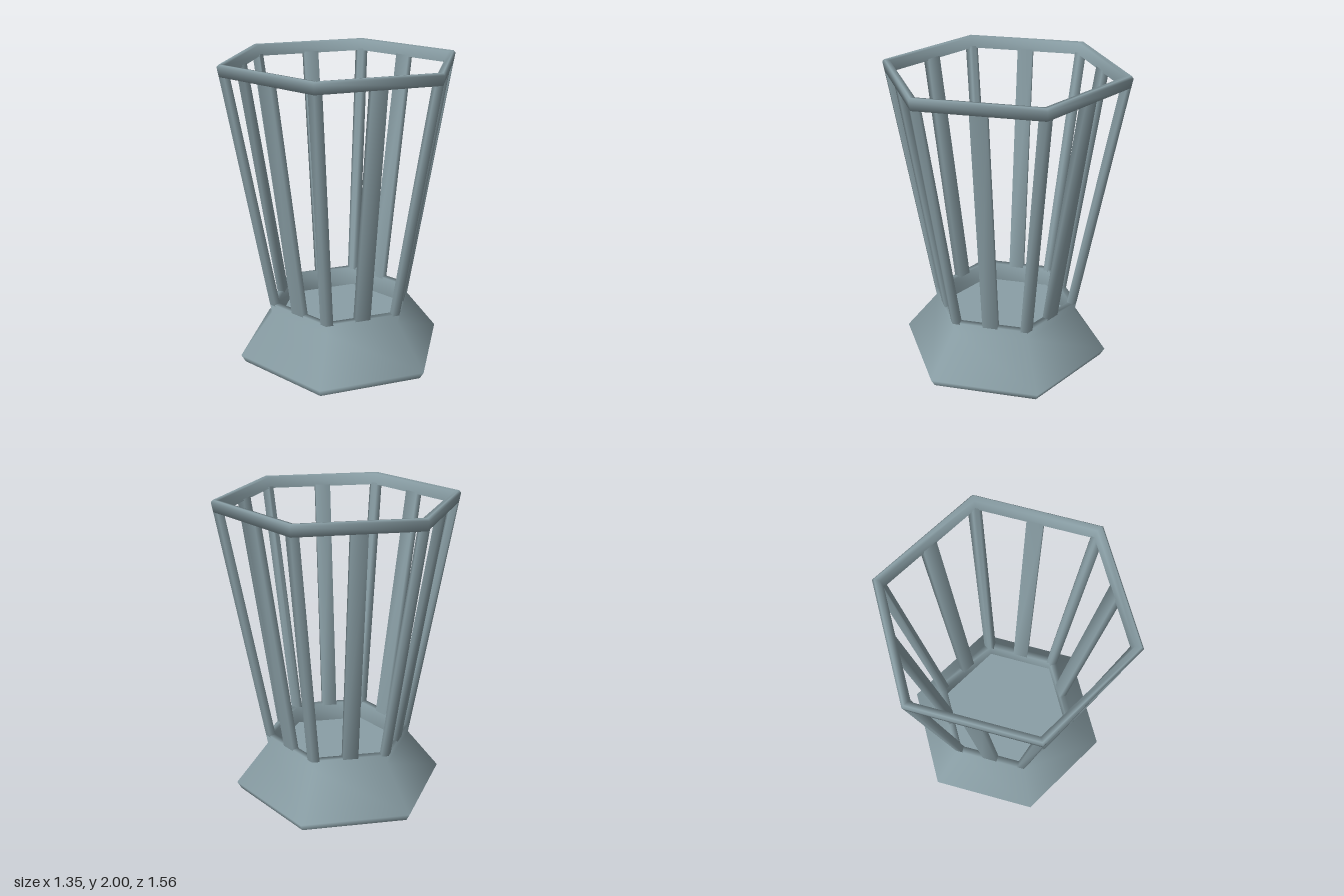
import * as THREE from 'three';

const SIDES = 6;
const APOTHEM = Math.cos(Math.PI / SIDES); // face distance / corner distance
const WALL = 0.045; // thickness of the cage

// Corner radius of the flaring cage at height y
const cageRadius = (y) => 0.485 + (y - 0.33) * 0.179;

// Six-sided ring or shell from a [radius, height] profile
function hexLathe(profile) {
  return new THREE.LatheGeometry(profile.map(([r, y]) => new THREE.Vector2(r, y)), SIDES);
}

// Leaning bar: section(y) gives [outward, sideways] points, counterclockwise from above
function barGeometry(section, y0, y1) {
  const positions = [];
  const index = [];
  for (const y of [y0, y1]) {
    for (const [out, side] of section(y)) positions.push(side, y, out);
  }
  const n = positions.length / 6;
  for (let i = 0; i < n; i++) {
    const j = (i + 1) % n;
    index.push(i, j, n + j, i, n + j, n + i);
  }
  const geometry = new THREE.BufferGeometry();
  geometry.setAttribute('position', new THREE.Float32BufferAttribute(positions, 3));
  geometry.setIndex(index);
  geometry.computeVertexNormals();
  return geometry;
}

// Flat bar in the middle of a face
function faceSection(y) {
  const a = cageRadius(y) * APOTHEM;
  const h = 0.05;
  return [[a, -h], [a, h], [a - WALL, h], [a - WALL, -h]];
}

// Folded bar wrapping a corner
function cornerSection(y) {
  const r = cageRadius(y);
  const w = 0.048;
  const outer = [r - 0.5 * w, APOTHEM * w];
  const inner = [outer[0] - APOTHEM * WALL, outer[1] - 0.5 * WALL];
  return [
    [r, 0], outer, inner, [r - WALL / APOTHEM, 0],
    [inner[0], -inner[1]], [outer[0], -outer[1]],
  ];
}

export function createModel() {
  const model = new THREE.Group();
  const metal = new THREE.MeshStandardMaterial({ color: 0x8a9fa6 });
  metal.name = 'blue grey metal';
  const under = new THREE.MeshStandardMaterial({ color: 0xd2d2cc });
  under.name = 'pale grey underside';

  const add = (name, geometry, material = metal) => {
    const mesh = new THREE.Mesh(geometry, material);
    mesh.name = name;
    model.add(mesh);
    return mesh;
  };

  // Flared foot with the low collar that holds the bars
  add('base', hexLathe([
    [0.675, 0], [0.703, 0.05], [0.485, 0.33], [0.497, 0.4], [0.447, 0.4], [0.447, 0.27],
  ]));

  // Floor inside the collar and the underside of the foot
  const floor = add('floor', new THREE.CircleGeometry(0.448, SIDES, Math.PI / 2));
  floor.rotation.x = -Math.PI / 2;
  floor.position.y = 0.27;
  const underside = add('underside', new THREE.CircleGeometry(0.675, SIDES, Math.PI / 2), under);
  underside.rotation.x = Math.PI / 2;

  // Top rim
  const low = 1.925;
  const inset = WALL / APOTHEM;
  add('topRim', hexLathe([
    [cageRadius(low) - inset, low], [cageRadius(low), low], [0.782, 1.985],
    [0.768, 2], [0.732, 1.995], [cageRadius(low) - inset, low],
  ]));

  // Corner bars and face bars around the cage
  const cornerBar = barGeometry(cornerSection, 0.39, 1.935);
  const faceBar = barGeometry(faceSection, 0.39, 1.935);
  for (let i = 0; i < SIDES; i++) {
    const angle = (i * 2 * Math.PI) / SIDES;
    add('cornerBar', cornerBar).rotation.y = angle;
    add('faceBar', faceBar).rotation.y = angle + Math.PI / SIDES;
  }
  return model;
}
